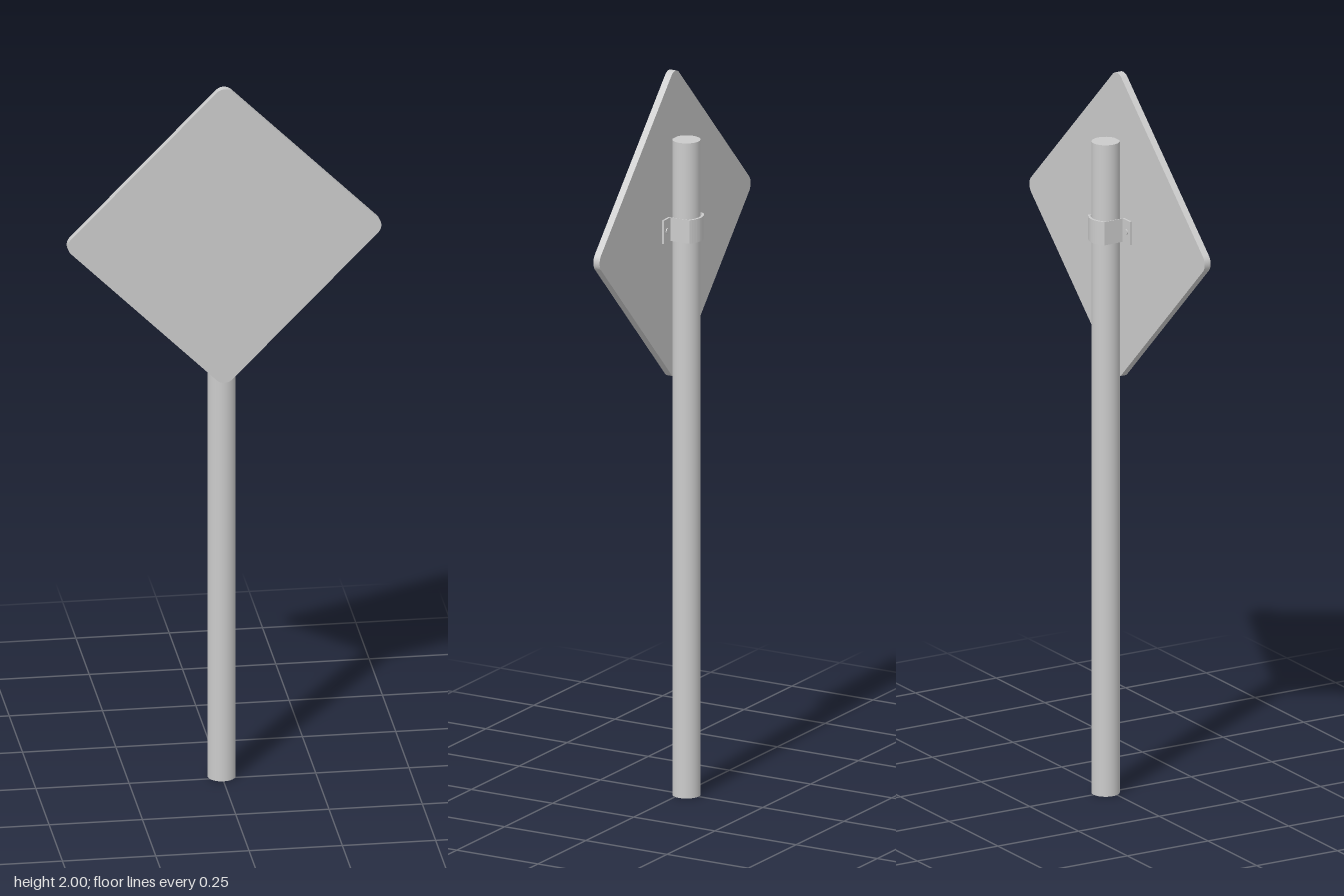
import * as THREE from 'three';

const material = new THREE.MeshStandardMaterial({ color: 0xcccccc, side: THREE.DoubleSide });
const YAW = 0.039; // the panel and its clamp are turned slightly on the pole

function addPart(parent, name, geometry, x = 0, y = 0, z = 0) {
  const mesh = new THREE.Mesh(geometry, material);
  mesh.name = name;
  mesh.position.set(x, y, z);
  parent.add(mesh);
  return mesh;
}

// Square with rounded corners, centred on the origin
function roundedSquare(s, r) {
  const shape = new THREE.Shape();
  const c = s - r;
  shape.absarc(c, c, r, 0, Math.PI / 2);
  shape.absarc(-c, c, r, Math.PI / 2, Math.PI);
  shape.absarc(-c, -c, r, Math.PI, Math.PI * 1.5);
  shape.absarc(c, -c, r, Math.PI * 1.5, Math.PI * 2);
  shape.closePath();
  return shape;
}

// Plan of the clamp strap: two tabs, thin side walls and a bowed back (shape y = -z)
function strapShape() {
  const shape = new THREE.Shape();
  shape.moveTo(-0.074, -0.019);
  shape.lineTo(-0.037, -0.019);
  shape.lineTo(-0.037, 0.039);
  shape.quadraticCurveTo(0, 0.067, 0.037, 0.039);
  shape.lineTo(0.037, -0.019);
  shape.lineTo(0.074, -0.019);
  shape.lineTo(0.074, -0.013);
  shape.lineTo(0.039, -0.013);
  shape.lineTo(0.039, 0.045);
  shape.quadraticCurveTo(0, 0.075, -0.039, 0.045);
  shape.lineTo(-0.039, -0.013);
  shape.lineTo(-0.074, -0.013);
  shape.closePath();
  return shape;
}

export function createModel() {
  const model = new THREE.Group();
  model.name = 'signpost';

  // Round pole
  const poleHeight = 1.815;
  addPart(model, 'pole', new THREE.CylinderGeometry(0.0375, 0.0375, poleHeight, 32), 0, poleHeight / 2, -0.015);

  // Diamond panel
  const panelGeometry = new THREE.ExtrudeGeometry(roundedSquare(0.3076, 0.03), {
    depth: 0.019, bevelEnabled: false, curveSegments: 8,
  });
  panelGeometry.translate(0, 0, -0.0095).rotateZ(Math.PI / 4);
  const panel = addPart(model, 'signPanel', panelGeometry, 0, 1.577, 0.0295);
  panel.rotation.y = YAW;

  // Clamp holding the panel to the pole
  const clamp = new THREE.Group();
  clamp.name = 'clamp';
  clamp.position.y = 1.54;
  clamp.rotation.y = YAW;
  model.add(clamp);
  const strapGeometry = new THREE.ExtrudeGeometry(strapShape(), {
    depth: 0.065, bevelEnabled: false, curveSegments: 12,
  });
  strapGeometry.rotateX(-Math.PI / 2);
  addPart(clamp, 'strap', strapGeometry);

  // Bolt heads on the tabs
  for (const side of [-1, 1]) {
    const bolt = new THREE.CylinderGeometry(0.008, 0.008, 0.004, 12).rotateX(Math.PI / 2);
    addPart(clamp, side > 0 ? 'leftBolt' : 'rightBolt', bolt, side * 0.057, 0.0325, 0.012);
  }
  return model;
}
